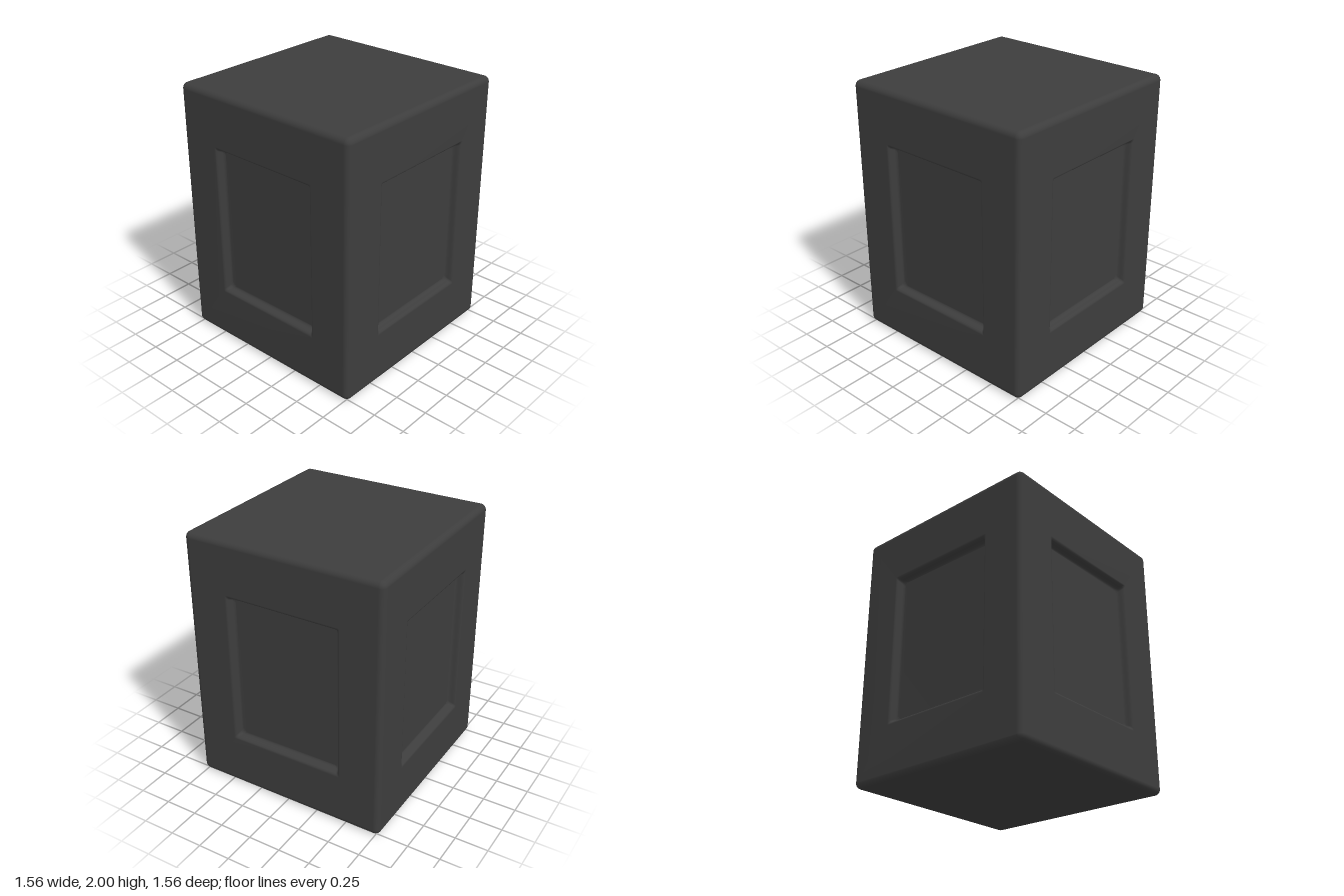
import * as THREE from 'three';
import { mergeGeometries, mergeVertices } from 'three/addons/utils/BufferGeometryUtils.js';

const HALF = new THREE.Vector3(0.78, 1, 0.78); // half size of the block
const R = 0.045;                               // rounded edge radius
const OPEN = { w: 0.46, h: 0.6 };              // half size of each recess opening
const N = 9;                                   // box segments, the middle one spans the flat face

// Rounded box shell with the four flat side faces left out
function shellGeometry() {
  const g = new THREE.BoxGeometry(2, 2, 2, N, N, N).toNonIndexed();
  const p = g.attributes.position;
  const d = new THREE.Vector3();
  for (let i = 0; i < p.count; i++) {
    const u = [p.getX(i), p.getY(i), p.getZ(i)];
    const bend = u.map((c) => {
      const v = Math.max(0, (Math.abs(c) - 1 / N) / (1 - 1 / N));
      return v < 1e-5 ? 0 : Math.sign(c) * Math.tan((v * Math.PI) / 4);
    });
    d.fromArray(bend).normalize().multiplyScalar(R);
    p.setXYZ(i,
      Math.sign(u[0]) * (HALF.x - R) + d.x,
      Math.sign(u[1]) * (HALF.y - R) + d.y,
      Math.sign(u[2]) * (HALF.z - R) + d.z);
  }
  const kept = [];
  const onSide = (i, axis) => Math.abs(p.getComponent(i, axis)) > HALF.x - 1e-5;
  for (let i = 0; i < p.count; i += 3) {
    const isSide = [0, 2].some((a) => [0, 1, 2].every((k) => onSide(i + k, a)));
    if (!isSide) for (let k = 0; k < 3; k++) kept.push(p.getX(i + k), p.getY(i + k), p.getZ(i + k));
  }
  return new THREE.BufferGeometry().setAttribute('position', new THREE.Float32BufferAttribute(kept, 3));
}

// Rounded rectangle outline, counter-clockwise
function outline(inset, radius) {
  const pts = [];
  [[1, 1], [-1, 1], [-1, -1], [1, -1]].forEach(([sx, sy], corner) => {
    for (let k = 0; k <= 4; k++) {
      const a = (corner + k / 4) * Math.PI / 2;
      pts.push(new THREE.Vector2(
        sx * (OPEN.w - inset - radius) + radius * Math.cos(a),
        sy * (OPEN.h - inset - radius) + radius * Math.sin(a)));
    }
  });
  return pts;
}

function positionsOnly(geometry) {
  const g = geometry.index ? geometry.toNonIndexed() : geometry;
  g.deleteAttribute('normal');
  g.deleteAttribute('uv');
  return g;
}

// One side: flat frame, softly curved recess wall and recessed floor, facing +z
function sideGeometry() {
  const profile = [[0, 0], [0.012, 0.004], [0.02, 0.014], [0.025, 0.03], [0.03, 0.046], [0.037, 0.056], [0.047, 0.06]];
  const rings = profile.map(([inset, depth], i) => ({ pts: outline(inset, 0.012 + 0.003 * i), z: -depth }));

  const w = HALF.x - R, h = HALF.y - R;
  const frame = new THREE.Shape([[-w, -h], [w, -h], [w, h], [-w, h]].map(([x, y]) => new THREE.Vector2(x, y)));
  frame.holes.push(new THREE.Path(rings[0].pts));

  const wall = [];
  for (let r = 0; r < rings.length - 1; r++) {
    const a = rings[r], b = rings[r + 1], n = a.pts.length;
    for (let i = 0; i < n; i++) {
      const j = (i + 1) % n;
      const quad = [[a, i], [a, j], [b, j], [a, i], [b, j], [b, i]];
      quad.forEach(([ring, k]) => wall.push(ring.pts[k].x, ring.pts[k].y, ring.z));
    }
  }
  const wallGeo = new THREE.BufferGeometry().setAttribute('position', new THREE.Float32BufferAttribute(wall, 3));

  const last = rings[rings.length - 1];
  const floor = new THREE.ShapeGeometry(new THREE.Shape(last.pts)).translate(0, 0, last.z);
  return mergeGeometries([positionsOnly(new THREE.ShapeGeometry(frame)), wallGeo, positionsOnly(floor)])
    .translate(0, 0, HALF.z);
}

export function createModel() {
  const group = new THREE.Group();
  group.name = 'panelledBlock';

  // Shell and four recessed sides welded into one smooth surface
  const parts = [shellGeometry()];
  for (let i = 0; i < 4; i++) parts.push(sideGeometry().rotateY((i * Math.PI) / 2));
  const geometry = mergeVertices(mergeGeometries(parts), 1e-4);
  geometry.translate(0, HALF.y, 0);
  geometry.computeVertexNormals();

  const body = new THREE.Mesh(geometry, new THREE.MeshStandardMaterial({ color: 0x3d3d3d }));
  body.name = 'pedestalBody';
  group.add(body);
  return group;
}
